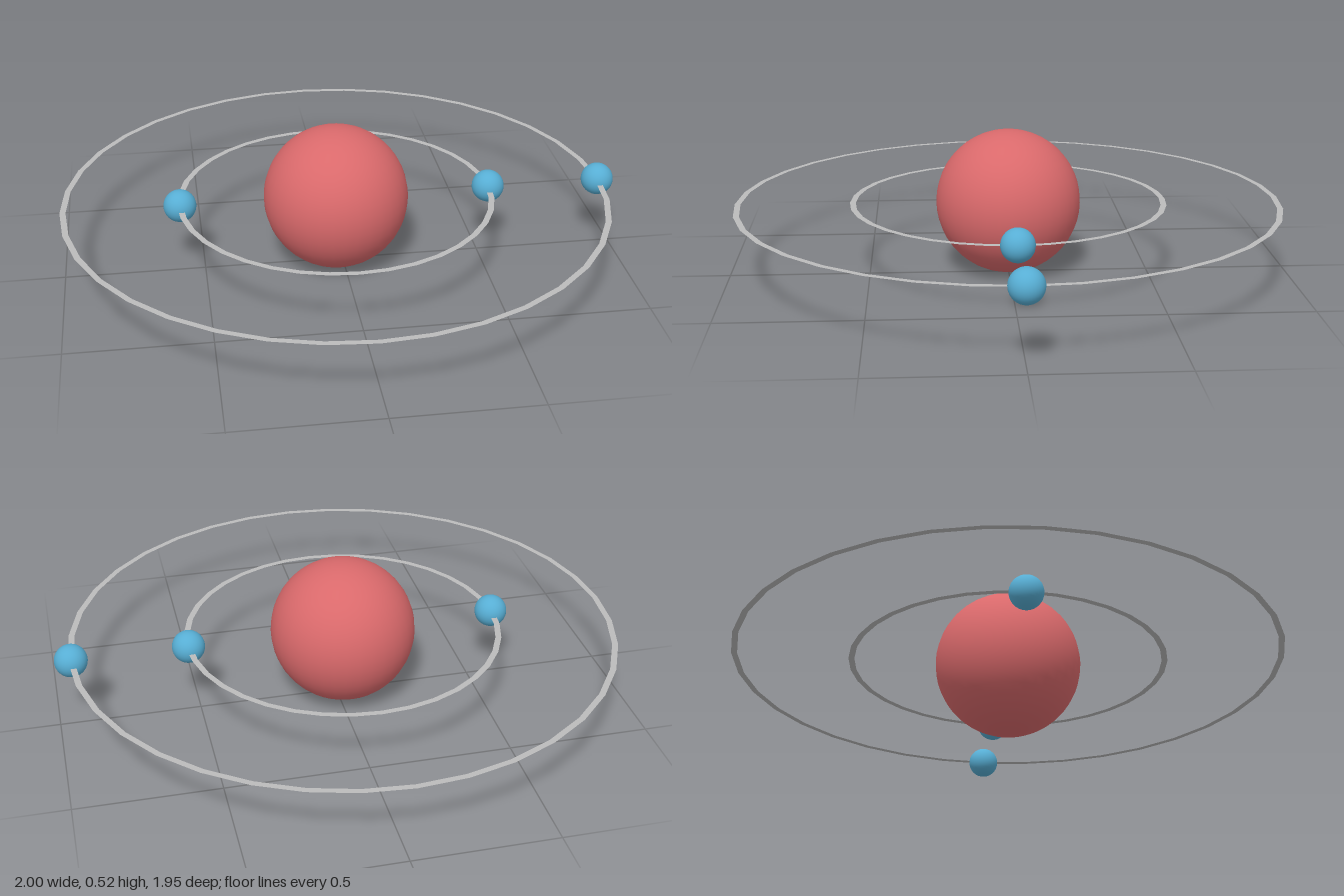
import * as THREE from 'three';

export function createModel() {
  const model = new THREE.Group();
  model.name = 'atom';

  const mat = (name, color) => new THREE.MeshStandardMaterial({ name, color });
  const red = mat('nucleus red', 0xd9696b);
  const blue = mat('electron blue', 0x57aed4);
  const grey = mat('orbit grey', 0xbbbbbb);
  grey.side = THREE.DoubleSide; // the orbits are flat sheets

  const add = (name, geometry, material, x = 0) => {
    const mesh = new THREE.Mesh(geometry, material);
    mesh.name = name;
    mesh.position.x = x;
    model.add(mesh);
  };

  // Central ball
  const nucleusRadius = 0.258;
  add('nucleus', new THREE.SphereGeometry(nucleusRadius, 36, 24), red);

  // Flat orbits, each with electrons on the given sides
  const electron = new THREE.SphereGeometry(0.058, 32, 20);
  const halfWidth = 0.0105;
  const orbits = [
    { name: 'inner', radius: 0.556, sides: [-1, 1] },
    { name: 'outer', radius: 0.965, sides: [1] },
  ];
  for (const { name, radius, sides } of orbits) {
    const ring = new THREE.RingGeometry(radius - halfWidth, radius + halfWidth, 36);
    ring.rotateX(-Math.PI / 2);
    add(name + 'Orbit', ring, grey);
    for (const s of sides) {
      add(name + 'Electron' + (s > 0 ? 'Left' : 'Right'), electron, blue, s * radius);
    }
  }

  // Stand on the ground and centre the overall width
  model.position.set(-0.024, nucleusRadius, 0);
  const root = new THREE.Group();
  root.name = 'model';
  root.add(model);
  return root;
}
